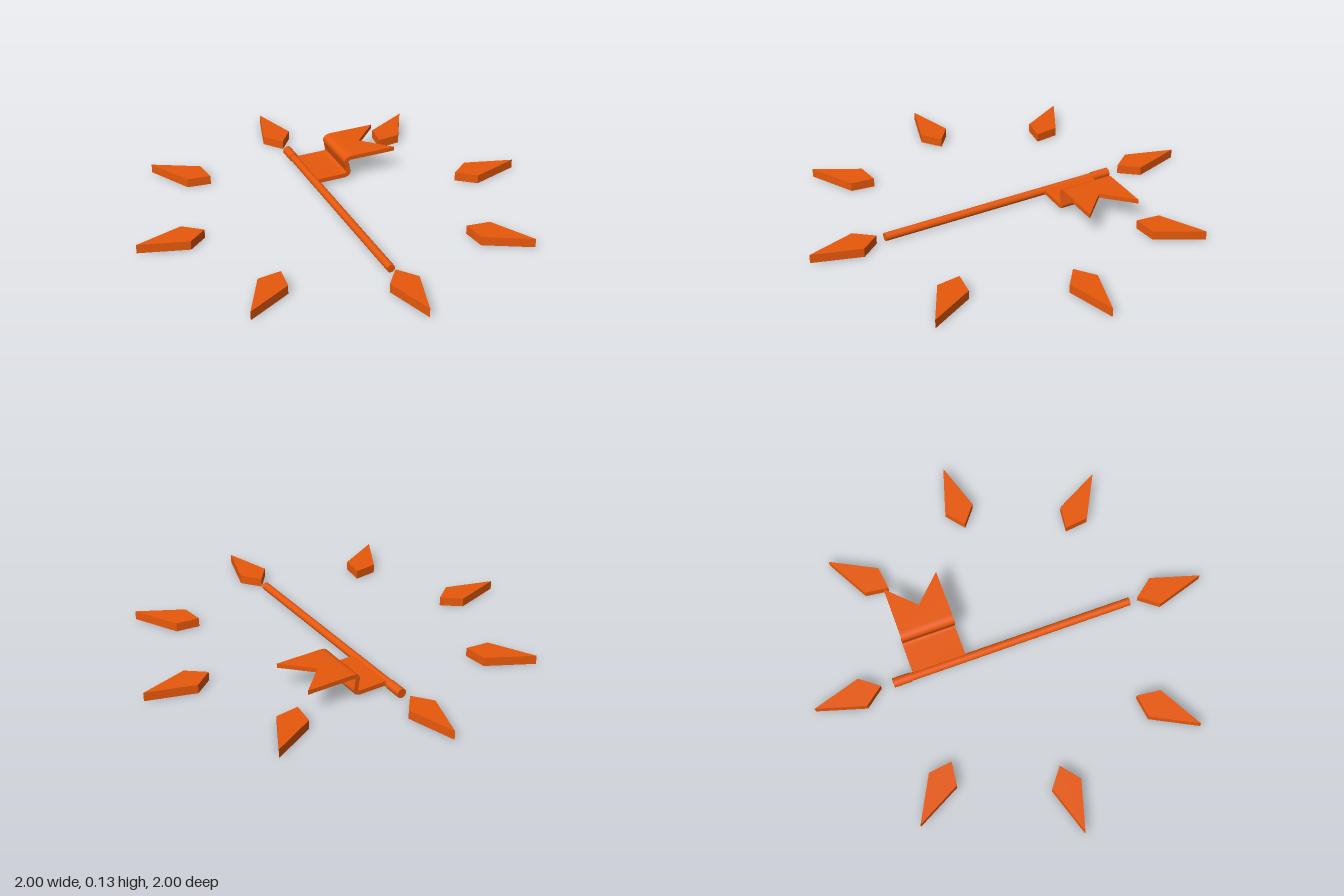
import * as THREE from 'three';
import { toCreasedNormals } from 'three/addons/utils/BufferGeometryUtils.js';

const material = new THREE.MeshStandardMaterial({ color: 0xe8590c });

function addMesh(parent, name, geometry) {
  const mesh = new THREE.Mesh(geometry, material);
  mesh.name = name;
  parent.add(mesh);
  return mesh;
}

// Kite-shaped compass point, lying flat with its long tip facing +x
function pointGeometry() {
  const kite = new THREE.Shape([[0.667, 0], [0.76, -0.073], [1, 0], [0.76, 0.073]]
    .map(([x, y]) => new THREE.Vector2(x, y)));
  return new THREE.ExtrudeGeometry(kite, { depth: 0.045, bevelEnabled: false }).rotateX(-Math.PI / 2);
}

// Swallow-tailed flag: an S-bent strip extruded along z, its end notched at mid-width
function flagGeometry() {
  const endX = 0.435, notchX = 0.3, width = 0.27, half = 0.011;
  const path = new THREE.Path();
  path.moveTo(0, 0.027);
  path.lineTo(0.15, 0.027);
  path.bezierCurveTo(0.185, 0.027, 0.185, 0.045, 0.178, 0.06);
  path.lineTo(0.174, 0.088);
  path.bezierCurveTo(0.167, 0.103, 0.167, 0.121, 0.202, 0.121);
  path.lineTo(endX, 0.121);
  const pts = path.getPoints(10);

  // Give the centre line its thickness
  const offset = (side) => pts.map((p, i) => {
    const t = pts[Math.min(i + 1, pts.length - 1)].clone().sub(p).normalize()
      .add(p.clone().sub(pts[Math.max(i - 1, 0)]).normalize()).normalize();
    return new THREE.Vector2(p.x - t.y * half * side, p.y + t.x * half * side);
  });
  const profile = new THREE.Shape([...offset(-1), ...offset(1).reverse()]);
  const geometry = new THREE.ExtrudeGeometry(profile, { depth: width, steps: 2, bevelEnabled: false });

  const pos = geometry.attributes.position;
  for (let i = 0; i < pos.count; i++) {
    const atEnd = pos.getX(i) > endX - 0.001;
    const atMiddle = Math.abs(pos.getZ(i) - width / 2) < 0.001;
    if (atEnd && atMiddle) pos.setX(i, notchX);
  }
  geometry.translate(0, 0, -0.5);
  return toCreasedNormals(geometry, 0.6);
}

// Round bar along z between two positions
function barGeometry(radius, z0, z1) {
  return new THREE.CylinderGeometry(radius, radius, z1 - z0, 16)
    .rotateX(Math.PI / 2)
    .translate(0, 0.023, (z0 + z1) / 2);
}

export function createModel() {
  const model = new THREE.Group();
  model.name = 'flagWithCompassPoints';

  // Ring of eight points
  const ring = new THREE.Group();
  ring.name = 'compassPoints';
  const kite = pointGeometry();
  for (let i = 0; i < 8; i++) {
    addMesh(ring, `compassPoint${i + 1}`, kite).rotation.y = (i * Math.PI) / 4;
  }
  model.add(ring);

  // Flagpole with a slightly thicker cap, and its flag
  addMesh(model, 'pole', barGeometry(0.02, -0.55, 0.625));
  addMesh(model, 'poleCap', barGeometry(0.0235, -0.605, -0.515));
  addMesh(model, 'flag', flagGeometry());

  return model;
}
